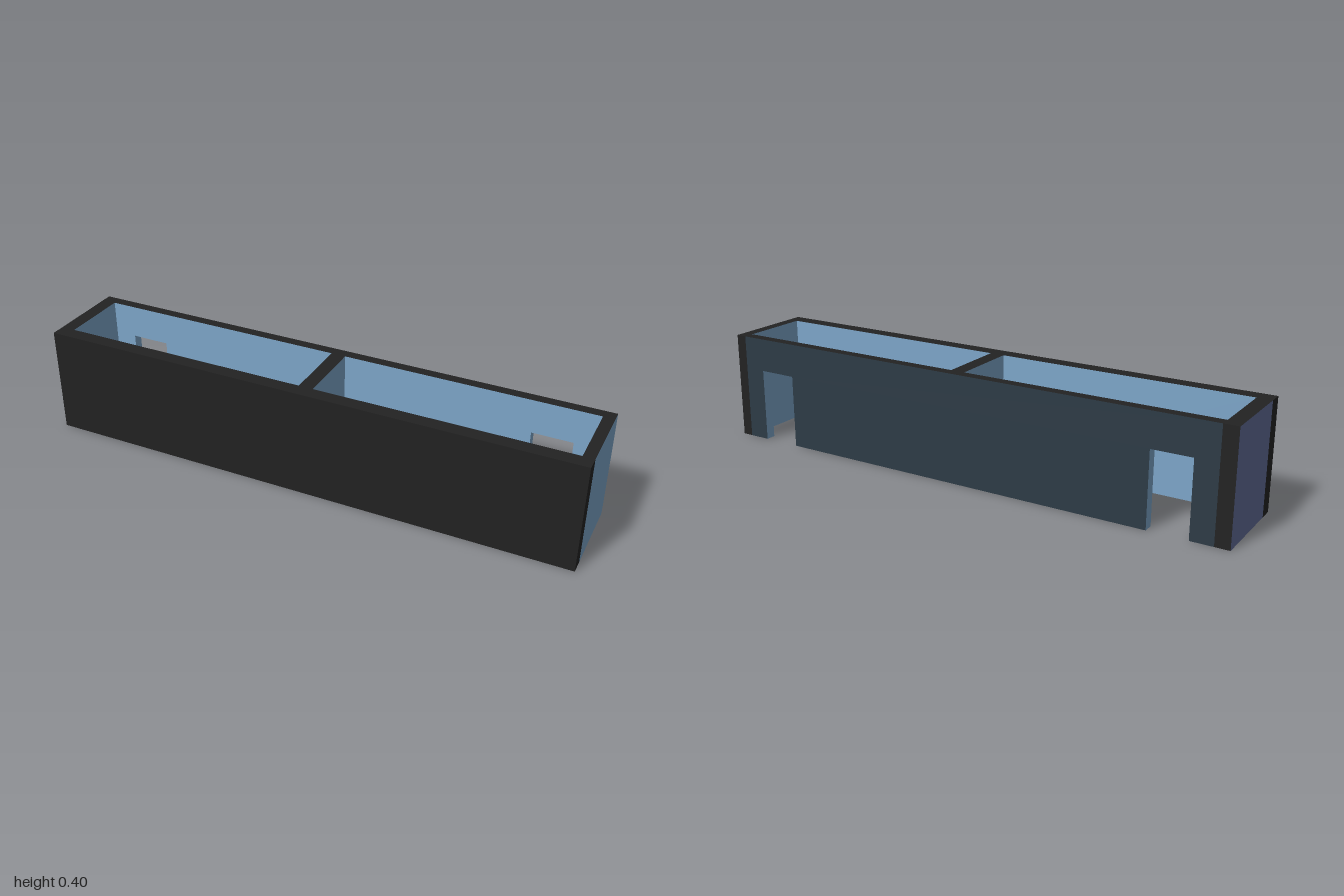
import * as THREE from 'three';

const H = 0.4, DOOR_H = 0.275;
const Z_FRONT = 0.174, Z_FRONT_IN = 0.121, Z_BACK = -0.174, Z_BACK_IN = -0.136;
const X_LEFT_IN = 0.96, X_RIGHT_IN = -0.947;
const bays = [
  { x0: X_RIGHT_IN, x1: -0.013, door: [-0.865, -0.72] },
  { x0: 0.04, x1: X_LEFT_IN, door: [0.733, 0.879] },
];

export function createModel() {
  const paint = (name, color) =>
    new THREE.MeshStandardMaterial({ name, color, side: THREE.DoubleSide });
  const black = paint('black', 0x222222);
  const blue = paint('blue', 0x7da6c9);
  const navy = paint('darkSlate', 0x2d3b46);
  const violet = paint('violetGrey', 0x636d99);

  const model = new THREE.Group();
  model.name = 'openBox';

  const add = (name, geometry, material) => {
    const mesh = new THREE.Mesh(geometry, material);
    mesh.name = name;
    model.add(mesh);
  };

  // Upright panel across x at depth z, with optional doorways cut from the floor
  const acrossX = (name, material, x0, x1, z, facing, doors = []) => {
    const pts = [[x0, 0]];
    for (const [a, b] of doors) pts.push([a, 0], [a, DOOR_H], [b, DOOR_H], [b, 0]);
    pts.push([x1, 0], [x1, H], [x0, H]);
    const shape = new THREE.Shape(pts.map(([x, y]) => new THREE.Vector2(x * facing, y)));
    const g = new THREE.ShapeGeometry(shape);
    if (facing < 0) g.rotateY(Math.PI);
    add(name, g.translate(0, 0, z), material);
  };

  // Upright panel across z at position x
  const acrossZ = (name, material, z0, z1, x, facing, height = H) => {
    const g = new THREE.PlaneGeometry(z1 - z0, height);
    g.rotateY(facing * Math.PI / 2).translate(x, height / 2, (z0 + z1) / 2);
    add(name, g, material);
  };

  // Outer skin: front, back and ends; the corner strips are black
  acrossX('frontFace', black, -1, 1, Z_FRONT, 1);
  acrossX('backFace', navy, X_RIGHT_IN, X_LEFT_IN, Z_BACK, -1, bays.map((b) => b.door));
  acrossX('backCornerLeft', black, X_LEFT_IN, 1, Z_BACK, -1);
  acrossX('backCornerRight', black, -1, X_RIGHT_IN, Z_BACK, -1);
  for (const [side, material, x] of [['left', blue, 1], ['right', violet, -1]]) {
    acrossZ(side + 'EndFace', material, Z_BACK, Z_FRONT_IN, x, x);
    acrossZ(side + 'EndFrontEdge', black, Z_FRONT_IN, Z_FRONT, x, x);
  }

  // Wall tops as one frame with an opening for each bay
  const corners = (x0, x1, z0, z1) =>
    [[x0, -z0], [x1, -z0], [x1, -z1], [x0, -z1]].map(([x, y]) => new THREE.Vector2(x, y));
  const rim = new THREE.Shape(corners(-1, 1, Z_BACK, Z_FRONT));
  for (const b of bays) rim.holes.push(new THREE.Path(corners(b.x0, b.x1, Z_BACK_IN, Z_FRONT_IN)));
  add('topRim', new THREE.ShapeGeometry(rim).rotateX(-Math.PI / 2).translate(0, H, 0), black);

  // Inner walls of each bay, and the lining of its doorway
  bays.forEach(({ x0, x1, door }, i) => {
    const bay = i ? 'leftBay' : 'rightBay';
    acrossX(bay + 'FrontWall', blue, x0, x1, Z_FRONT_IN, -1);
    acrossX(bay + 'BackWall', blue, x0, x1, Z_BACK_IN, 1, [door]);
    acrossZ(bay + 'RightWall', blue, Z_BACK_IN, Z_FRONT_IN, x0, 1);
    acrossZ(bay + 'LeftWall', blue, Z_BACK_IN, Z_FRONT_IN, x1, -1);
    acrossZ(bay + 'DoorRightJamb', blue, Z_BACK, Z_BACK_IN, door[0], 1, DOOR_H);
    acrossZ(bay + 'DoorLeftJamb', blue, Z_BACK, Z_BACK_IN, door[1], -1, DOOR_H);
    const lintel = new THREE.PlaneGeometry(door[1] - door[0], Z_BACK_IN - Z_BACK);
    lintel.rotateX(Math.PI / 2);
    lintel.translate((door[0] + door[1]) / 2, DOOR_H, (Z_BACK + Z_BACK_IN) / 2);
    add(bay + 'DoorLintel', lintel, blue);
  });

  return model;
}
